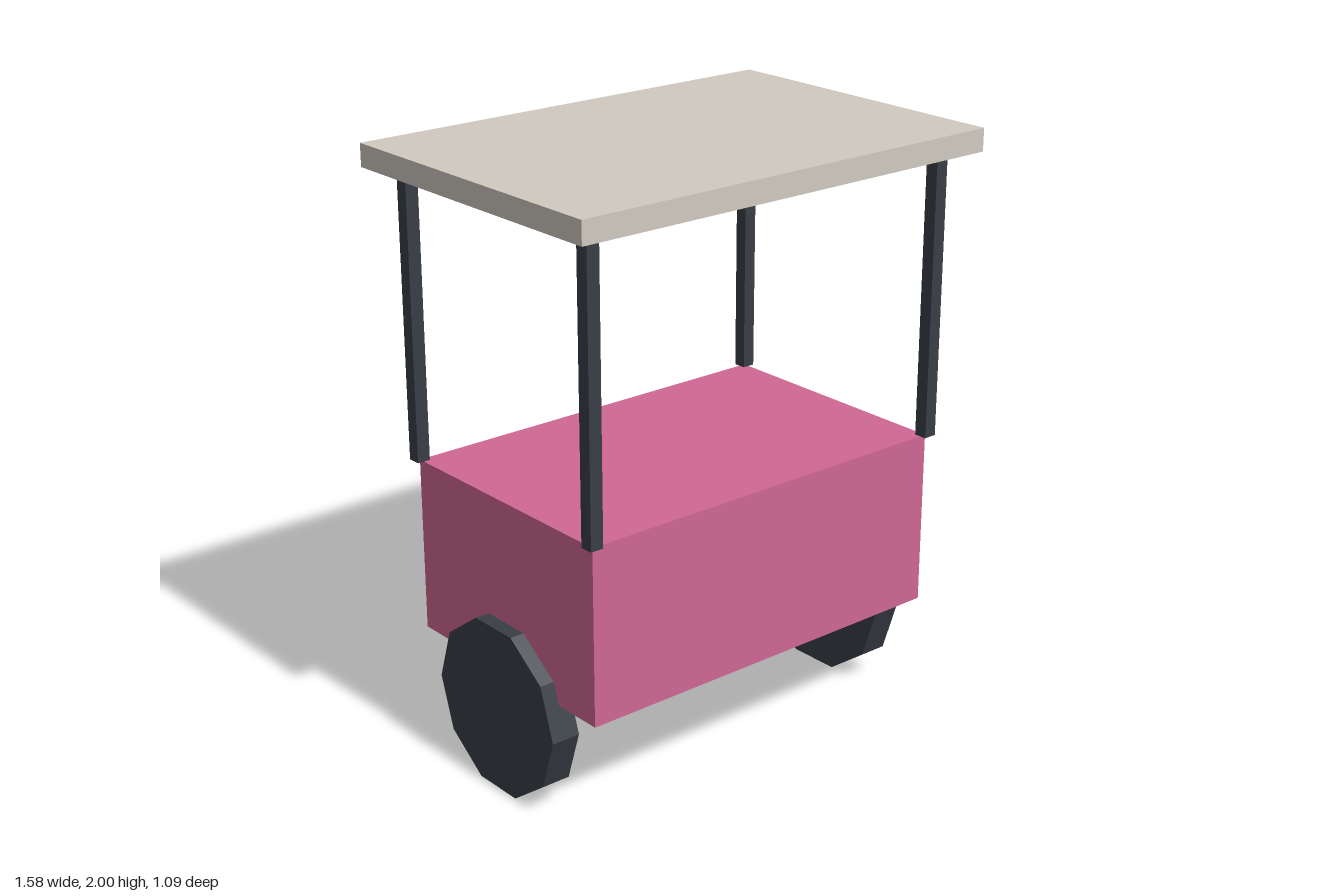
import * as THREE from 'three';

function material(name, color) {
  const m = new THREE.MeshStandardMaterial({ color });
  m.name = name;
  return m;
}

export function createModel() {
  const cart = new THREE.Group();
  cart.name = 'cart';
  const pink = material('pink', 0xd06794);
  const cream = material('cream', 0xd0cac0);
  const charcoal = material('charcoal', 0x383e45);
  charcoal.flatShading = true;

  function add(name, geometry, mat, x, y, z) {
    const mesh = new THREE.Mesh(geometry, mat);
    mesh.name = name;
    mesh.position.set(x, y, z);
    cart.add(mesh);
  }

  // Body and flat canopy
  add('body', new THREE.BoxGeometry(1.38, 0.59, 0.885), pink, 0, 0.68, 0);
  add('canopy', new THREE.BoxGeometry(1.575, 0.075, 1.085), cream, 0, 1.9625, 0);

  // Ten-sided wheel lying along x, with a flat side on the ground
  const radius = 0.297;
  const wheel = new THREE.CylinderGeometry(radius, radius, 0.1, 10).rotateZ(Math.PI / 2);
  const hubHeight = radius * Math.sin(Math.PI * 0.4);
  const post = new THREE.BoxGeometry(0.045, 0.95, 0.045);

  for (const side of [1, -1]) {
    const sideName = side > 0 ? 'left' : 'right';
    add(sideName + 'Wheel', wheel, charcoal, side * 0.69, hubHeight, 0);
    // Posts stand on the corners of the body
    for (const end of [1, -1]) {
      add(sideName + (end > 0 ? 'Front' : 'Back') + 'Post', post, charcoal, side * 0.69, 1.45, end * 0.4425);
    }
  }
  return cart;
}
